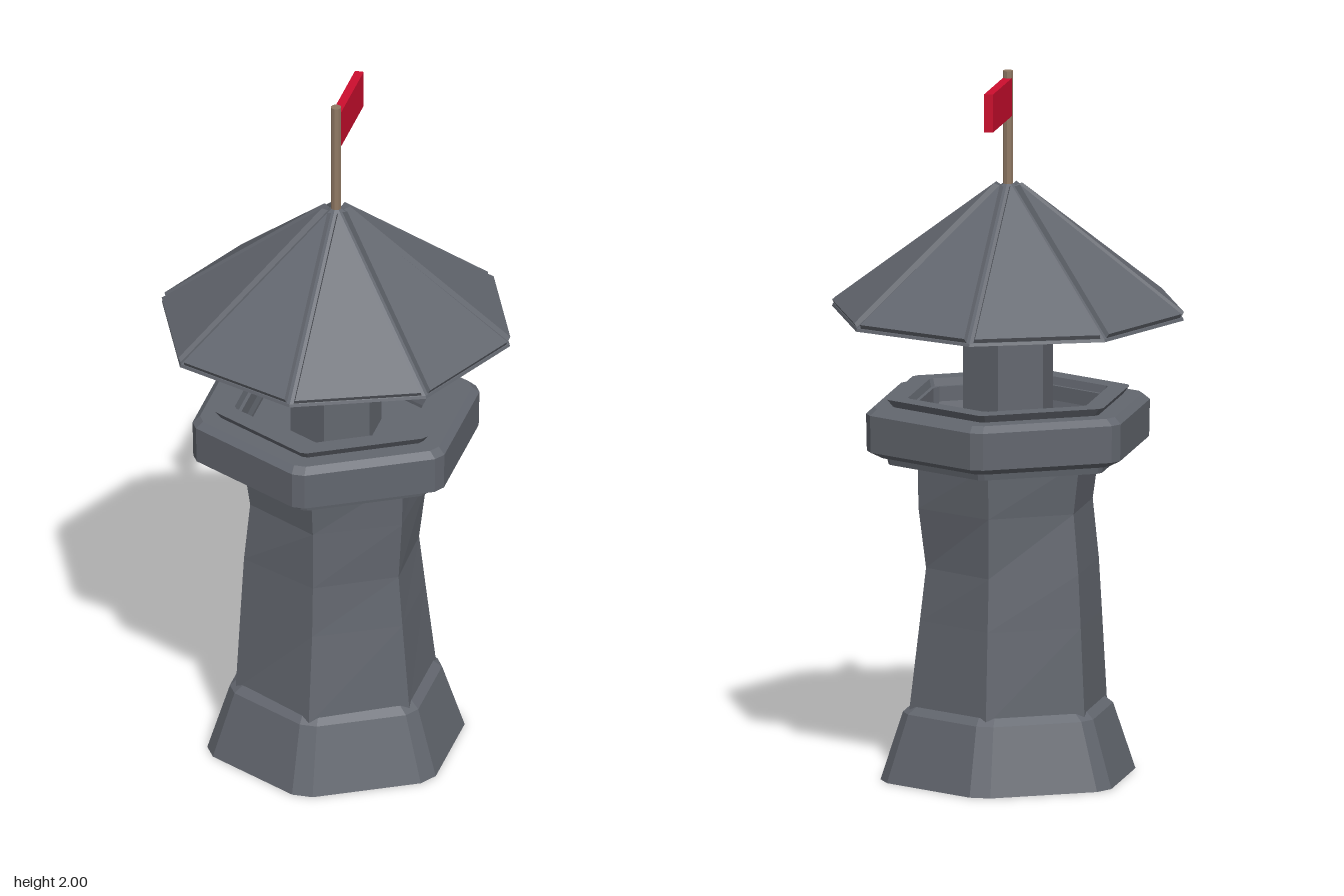
import * as THREE from 'three';

const V = (x, y, z) => new THREE.Vector3(x, y, z);

// Flat-faced skin through rings of points (anticlockwise seen from above), capped at both ends
function loft(rings, capBottom = true, capTop = true) {
  const pos = [];
  const tri = (...pts) => pts.forEach(p => pos.push(p.x, p.y, p.z));
  const n = rings[0].length;
  const centre = ring => ring.reduce((s, p) => s.add(p), V(0, 0, 0)).divideScalar(n);
  const low = rings[0], high = rings[rings.length - 1];
  const cl = centre(low), ch = centre(high);
  for (let i = 0; i < n; i++) {
    const j = (i + 1) % n;
    for (let r = 0; r < rings.length - 1; r++) {
      const a = rings[r], b = rings[r + 1];
      tri(a[i], a[j], b[j]);
      tri(a[i], b[j], b[i]);
    }
    if (capBottom) tri(cl, low[j], low[i]);
    if (capTop) tri(ch, high[i], high[j]);
  }
  const g = new THREE.BufferGeometry();
  g.setAttribute('position', new THREE.Float32BufferAttribute(pos, 3));
  g.computeVertexNormals();
  return g;
}

// Regular ring with a corner facing +z; radii may vary from corner to corner
function ring(sides, radius, y) {
  return Array.from({ length: sides }, (_, k) => {
    const a = k / sides * Math.PI * 2;
    const r = Array.isArray(radius) ? radius[k] : radius;
    return V(Math.sin(a) * r, y, Math.cos(a) * r);
  });
}

// Hexagon with cut corners, sized by its half width across the flats
function cutHex(halfWidth, y, cut) {
  const c = ring(6, halfWidth / Math.cos(Math.PI / 6), y);
  return c.flatMap((p, k) => [
    p.clone().lerp(c[(k + 5) % 6], cut),
    p.clone().lerp(c[(k + 1) % 6], cut),
  ]);
}

export function createModel() {
  const model = new THREE.Group();
  const paint = (name, color) => {
    const m = new THREE.MeshStandardMaterial({ color, flatShading: true });
    m.name = name;
    return m;
  };
  const slate = paint('slate grey', 0x63676f);
  const wood = paint('pole brown', 0x8f7863);
  const red = paint('flag red', 0xcc0e2e);
  const add = (name, geometry, material, parent = model) => {
    const mesh = new THREE.Mesh(geometry, material);
    mesh.name = name;
    parent.add(mesh);
    return mesh;
  };
  const hexPart = (name, profile, cut) =>
    add(name, loft(profile.map(([r, y]) => cutHex(r, y, cut))), slate);

  // Flared foot
  hexPart('base', [[0.33, 0], [0.272, 0.19], [0.25, 0.21]], 0.09);

  // Rough hewn shaft, with a waist that wanders a little at each corner
  add('shaft', loft([
    ring(6, [0.295, 0.29, 0.29, 0.288, 0.29, 0.29], 0.19),
    ring(6, [0.258, 0.262, 0.258, 0.265, 0.275, 0.275], 0.45),
    ring(6, [0.25, 0.247, 0.24, 0.25, 0.266, 0.266], 0.6),
    ring(6, [0.25, 0.26, 0.262, 0.252, 0.248, 0.248], 0.77),
    ring(6, [0.272, 0.265, 0.265, 0.262, 0.27, 0.27], 0.92),
  ]), slate);

  // Gallery: ledge, heavy band and a hollow lip with a sunken floor
  hexPart('galleryLedge', [[0.305, 0.9], [0.312, 0.935]], 0.03);
  hexPart('galleryBand', [
    [0.33, 0.922], [0.362, 0.94], [0.364, 1.045], [0.345, 1.063],
    [0.24, 1.063], [0.24, 0.99],
  ], 0.05);
  hexPart('galleryLip', [
    [0.285, 1.05], [0.31, 1.085], [0.255, 1.085], [0.235, 1.0], [0.235, 0.985],
  ], 0.03);

  // Lantern room
  add('lanternRoom', loft([ring(6, 0.132, 0.95), ring(6, 0.132, 1.33)]), slate);

  // Roof: eight sided pyramid with a bevelled plate on each face
  const roof = new THREE.Group();
  roof.name = 'roof';
  model.add(roof);
  const eaves = ring(8, 0.503, 1.31);
  const apex = V(0, 1.69, 0);
  add('roofCore', loft([eaves, ring(8, 0.5, 1.318), ring(8, 0.004, 1.688)]), slate, roof);
  for (let k = 0; k < 8; k++) {
    const face = [eaves[k], eaves[(k + 1) % 8], apex];
    const normal = new THREE.Triangle(...face).getNormal(V(0, 0, 0));
    // Centre of the inscribed circle, so the plate keeps an even border
    const sides = face.map((_, i) => face[(i + 1) % 3].distanceTo(face[(i + 2) % 3]));
    const total = sides[0] + sides[1] + sides[2];
    const mid = V(0, 0, 0);
    face.forEach((p, i) => mid.addScaledVector(p, sides[i] / total));
    const plate = (scale, lift) =>
      face.map(p => mid.clone().lerp(p, scale).addScaledVector(normal, lift));
    add('roofPanel', loft([plate(0.94, 0), plate(0.92, 0.018)], false), slate, roof);
  }

  // Flagpole and flag
  add('flagpole', new THREE.CylinderGeometry(0.015, 0.015, 0.34, 8), wood).position.y = 1.83;
  add('flag', new THREE.BoxGeometry(0.025, 0.108, 0.245), red).position.set(0, 1.926, -0.13);

  return model;
}
